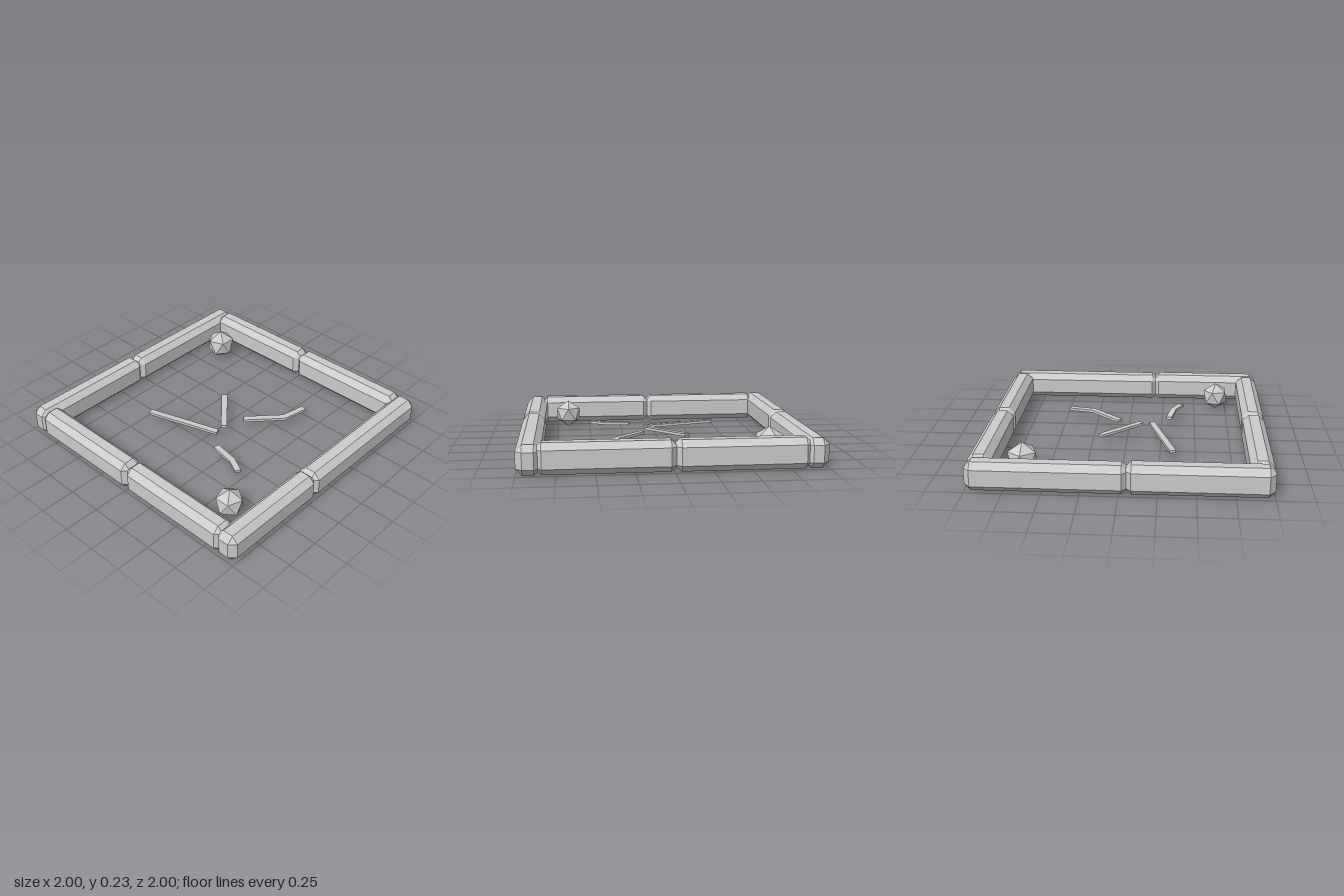
import * as THREE from 'three';
import { ConvexGeometry } from 'three/addons/geometries/ConvexGeometry.js';

const stone = new THREE.MeshStandardMaterial({ color: 0xcccccc, flatShading: true });
stone.name = 'stone grey';

// Box with every edge and corner cut at 45 degrees, spanning min..max
function chamferedBox(min, max, c) {
  const points = [];
  for (const sx of [0, 1]) for (const sy of [0, 1]) for (const sz of [0, 1]) {
    const side = [sx, sy, sz];
    for (let full = 0; full < 3; full++) {
      const p = side.map((s, i) => {
        const inset = i === full ? 0 : c;
        return s ? max[i] - inset : min[i] + inset;
      });
      points.push(new THREE.Vector3(...p));
    }
  }
  return new ConvexGeometry(points);
}

// Flat strip of constant width following [x, z] points, with mitred bends
function stripGeometry(path, width, depth) {
  const pts = path.map(([x, z]) => new THREE.Vector2(x, -z));
  const left = [], right = [];
  pts.forEach((p, i) => {
    const a = pts[Math.max(i - 1, 0)], b = pts[Math.min(i + 1, pts.length - 1)];
    const d1 = (i > 0 ? p.clone().sub(a) : b.clone().sub(p)).normalize();
    const d2 = (i < pts.length - 1 ? b.clone().sub(p) : p.clone().sub(a)).normalize();
    const t = d1.clone().add(d2).normalize();
    const n = new THREE.Vector2(-t.y, t.x).multiplyScalar(width / 2 / t.dot(d1));
    left.push(p.clone().add(n));
    right.unshift(p.clone().sub(n));
  });
  const geo = new THREE.ExtrudeGeometry(new THREE.Shape([...left, ...right]), { depth, bevelEnabled: false });
  return geo.rotateX(-Math.PI / 2);
}

export function createModel() {
  const model = new THREE.Group();
  model.name = 'stoneFrame';
  const add = (name, geometry) => {
    const mesh = new THREE.Mesh(geometry, stone);
    mesh.name = name;
    model.add(mesh);
    return mesh;
  };

  // Border stones: x range, z range, height
  const beams = [
    ['frontBeamRight', -1, -0.165, 0.84, 1, 0.2],
    ['frontBeamLeft', -0.195, 1, 0.84, 1, 0.196],
    ['backBeamRight', -1, -0.038, -1, -0.845, 0.206],
    ['backBeamLeft', -0.062, 1, -1, -0.845, 0.2],
    ['rightBeamBack', -1, -0.843, -0.89, 0.02, 0.206],
    ['rightBeamFront', -1, -0.843, 0.0, 0.88, 0.206],
    ['leftBeamBack', 0.843, 1, -0.89, 0.0, 0.206],
    ['leftBeamFront', 0.843, 1, -0.02, 0.88, 0.206],
  ];
  for (const [name, x0, x1, z0, z1, h] of beams) {
    add(name, chamferedBox([x0, 0, z0], [x1, h, z1], 0.043));
  }

  // Loose rocks standing on one point
  const rocks = [
    ['backRock', 0.666, -0.672, 0.113, Math.PI / 2],
    ['frontRock', -0.67, 0.667, 0.104, 0],
  ];
  const tilt = -Math.atan(2 / (1 + Math.sqrt(5)));
  for (const [name, x, z, r, yaw] of rocks) {
    const geo = new THREE.IcosahedronGeometry(r, 0).rotateZ(tilt).rotateY(yaw);
    add(name, geo).position.set(x, r, z);
  }

  // Thin crack strips in the middle
  const cracks = [
    [[-0.343, -0.442], [-0.177, 0.091]],
    [[0.185, -0.179], [-0.099, 0.083]],
    [[0.064, 0.126], [0.286, 0.332], [0.471, 0.37]],
    [[-0.305, 0.2], [-0.337, 0.383], [-0.394, 0.49]],
  ];
  cracks.forEach((path, i) => {
    add('crackStrip' + (i + 1), stripGeometry(path, 0.044, 0.02)).position.y = 0.07;
  });

  return model;
}
